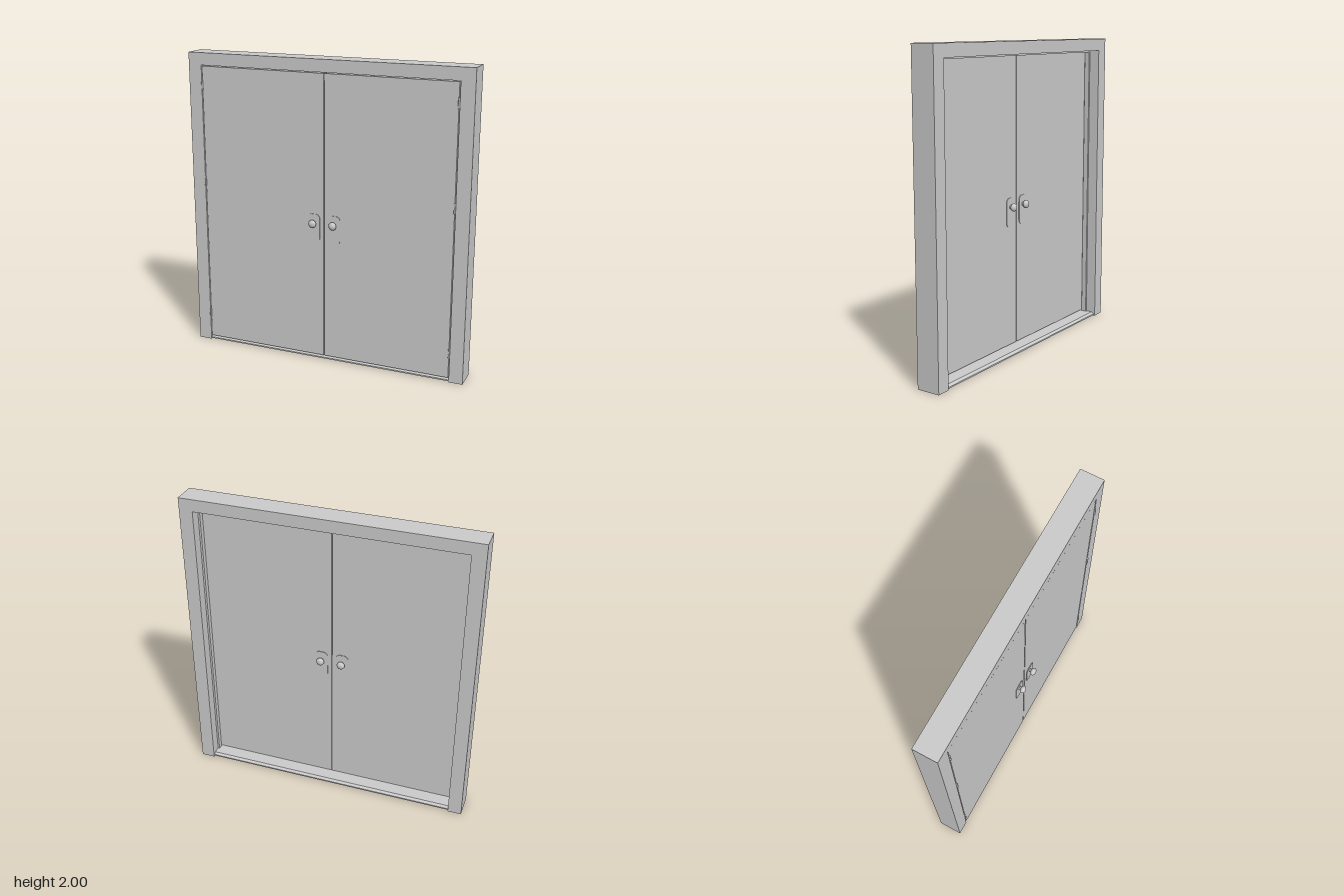
import * as THREE from 'three';

const material = new THREE.MeshStandardMaterial({ color: 0xcccccc });
const W = 0.95, H = 2, IN = 0.86, TOP = 1.92;   // outer half width, height, opening
const BACK = -0.1, FRONT = 0.057;               // frame depth
const DOOR_BACK = 0.008, DOOR_FRONT = 0.056;

function add(parent, name, geometry, x = 0, y = 0, z = 0) {
  const mesh = new THREE.Mesh(geometry, material);
  mesh.name = name;
  mesh.position.set(x, y, z);
  parent.add(mesh);
  return mesh;
}

function box(parent, name, x0, x1, y0, y1, z0, z1) {
  return add(parent, name, new THREE.BoxGeometry(x1 - x0, y1 - y0, z1 - z0),
    (x0 + x1) / 2, (y0 + y1) / 2, (z0 + z1) / 2);
}

// U-shaped arch (two jambs and a head) extruded between two depths
function arch(parent, name, outX, outY, inX, inY, y0, z0, z1) {
  const shape = new THREE.Shape([
    [-outX, y0], [-inX, y0], [-inX, inY], [inX, inY],
    [inX, y0], [outX, y0], [outX, outY], [-outX, outY],
  ].map(([x, y]) => new THREE.Vector2(x, y)));
  const geometry = new THREE.ExtrudeGeometry(shape, { depth: z1 - z0, bevelEnabled: false });
  return add(parent, name, geometry, 0, 0, z0);
}

// Rounded backing plate centred on x = 0
function plateGeometry(w, y0, y1, r, depth) {
  const s = new THREE.Shape(), h = w / 2;
  s.moveTo(-h + r, y0);
  s.lineTo(h - r, y0);
  s.absarc(h - r, y0 + r, r, -Math.PI / 2, 0);
  s.lineTo(h, y1 - r);
  s.absarc(h - r, y1 - r, r, 0, Math.PI / 2);
  s.lineTo(-h + r, y1);
  s.absarc(-h + r, y1 - r, r, Math.PI / 2, Math.PI);
  s.lineTo(-h, y0 + r);
  s.absarc(-h + r, y0 + r, r, Math.PI, Math.PI * 1.5);
  return new THREE.ExtrudeGeometry(s, { depth, bevelEnabled: false, curveSegments: 10 });
}

// Turned knob: neck and flattened ball, pointing along +z
function knobGeometry() {
  const pts = [[0.013, 0], [0.013, 0.003], [0.009, 0.005], [0.009, 0.011]];
  for (let i = 0; i <= 12; i++) {
    const a = -1.2 + (i / 12) * (Math.PI / 2 + 1.2);
    pts.push([Math.max(0, 0.026 * Math.cos(a)), 0.027 + 0.018 * Math.sin(a)]);
  }
  return new THREE.LatheGeometry(pts.map(([r, y]) => new THREE.Vector2(r, y)), 32)
    .rotateX(Math.PI / 2);
}

function handleSet(name) {
  const set = new THREE.Group();
  set.name = name;
  add(set, 'backPlate', plateGeometry(0.084, -0.13, 0.06, 0.03, 0.004));
  add(set, 'knob', knobGeometry(), 0, 0, 0.002);
  return set;
}

// Knuckled hinge barrel with end caps and a leaf in the gap
function hinge(side, y) {
  const g = new THREE.Group();
  g.name = 'hinge';
  g.position.set(side * 0.8555, y, 0.06);
  const knuckle = new THREE.CylinderGeometry(0.006, 0.006, 0.0118, 16);
  for (let i = -2; i <= 2; i++) add(g, 'knuckle', knuckle, 0, i * 0.0125, 0);
  add(g, 'pin', new THREE.CylinderGeometry(0.0045, 0.0045, 0.068, 16));
  box(g, 'leaf', -0.0015, 0.0015, -0.031, 0.031, -0.045, 0);
  return g;
}

export function createModel() {
  const model = new THREE.Group();
  model.name = 'doubleDoor';

  // Frame with a stop running round behind the doors
  arch(model, 'frame', W, H, IN, TOP, 0, BACK, FRONT);
  arch(model, 'doorStop', IN, TOP, IN - 0.012, TOP - 0.012, 0.02, -0.03, 0.004);

  // Threshold: low saddle with grooves underneath
  const profile = [[0.05, 0.003], [0.05, 0.012], [0.035, 0.025], [-0.075, 0.025], [-0.09, 0.012], [-0.09, 0.003]];
  for (let i = 0; i < 4; i++) {
    const z = -0.075 + i * 0.03;
    profile.push([z, 0.003], [z, 0.01], [z + 0.018, 0.01], [z + 0.018, 0.003]);
  }
  const sill = new THREE.Shape(profile.map(([z, y]) => new THREE.Vector2(-z, y)));
  const sillGeometry = new THREE.ExtrudeGeometry(sill, { depth: IN * 2, bevelEnabled: false })
    .rotateY(Math.PI / 2);
  add(model, 'threshold', sillGeometry, -IN, 0, 0);

  for (const side of [-1, 1]) {
    const door = new THREE.Group();
    door.name = side > 0 ? 'leftDoor' : 'rightDoor';
    model.add(door);

    // Door leaf
    const a = side * 0.003, b = side * 0.854;
    box(door, 'leaf', Math.min(a, b), Math.max(a, b), 0.03, 1.914, DOOR_BACK, DOOR_FRONT);

    // Latch plate on the meeting edge
    box(door, 'latchPlate', side * 0.003 - 0.0015, side * 0.003 + 0.0015, 0.86, 1.03, 0.02, 0.044);

    // Knobs on both faces
    const front = handleSet('frontHandle');
    front.position.set(side * 0.07, 0.95, DOOR_FRONT);
    const rear = handleSet('rearHandle');
    rear.position.set(side * 0.07, 0.95, DOOR_BACK);
    rear.rotation.y = Math.PI;
    door.add(front, rear);

    for (const y of [0.2, 1.15, 1.79]) door.add(hinge(side, y));
  }
  return model;
}
